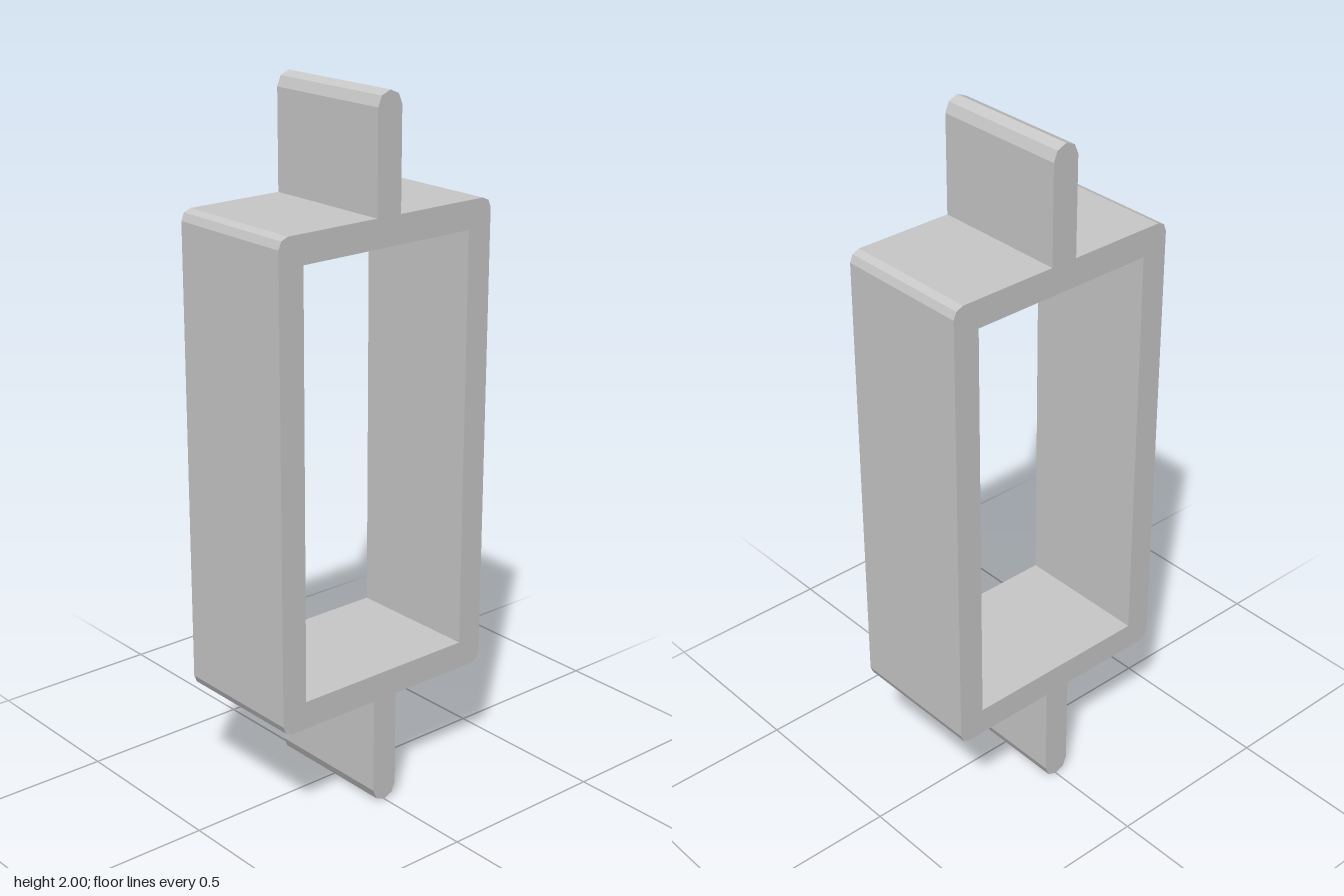
import * as THREE from 'three';

const DEPTH = 0.4;
const OUT_X = 0.359, IN_X = 0.281;          // frame half widths
const OUT_Y = 0.68, IN_Y = 0.6;             // frame half heights about the middle
const TAB = 0.04, TIP = 1, CORNER = 0.03;   // tab half width, tab reach, corner radius

// Points of a faceted arc, angles in quarter turns
function arc(cx, cy, r, startQuarter, quarters) {
  const points = [];
  for (let i = 0; i <= quarters * 2; i++) {
    const a = (startQuarter + i / 2) * Math.PI / 2;
    points.push(new THREE.Vector2(cx + r * Math.cos(a), cy + r * Math.sin(a)));
  }
  return points;
}

export function createModel() {
  const group = new THREE.Group();
  group.name = 'tabbedFrame';
  const grey = new THREE.MeshStandardMaterial({ color: 0xc8c8c8 });
  grey.name = 'light grey';

  // Upper half of the outline: right corner, rounded tab, left corner
  const upper = [
    ...arc(OUT_X - CORNER, OUT_Y - CORNER, CORNER, 0, 1),
    new THREE.Vector2(TAB, OUT_Y),
    ...arc(0, TIP - TAB, TAB, 0, 2),
    new THREE.Vector2(-TAB, OUT_Y),
    ...arc(-OUT_X + CORNER, OUT_Y - CORNER, CORNER, 1, 1),
  ];
  // The lower half is the upper half turned by 180 degrees
  const lower = upper.map((p) => p.clone().negate());
  const outline = new THREE.Shape([...upper, ...lower]);

  // Rectangular opening
  outline.holes.push(new THREE.Path([
    new THREE.Vector2(-IN_X, -IN_Y), new THREE.Vector2(-IN_X, IN_Y),
    new THREE.Vector2(IN_X, IN_Y), new THREE.Vector2(IN_X, -IN_Y),
  ]));

  const geometry = new THREE.ExtrudeGeometry(outline, { depth: DEPTH, bevelEnabled: false });
  geometry.translate(0, 1, -DEPTH / 2);
  const frame = new THREE.Mesh(geometry, grey);
  frame.name = 'frameWithTabs';
  group.add(frame);
  return group;
}
